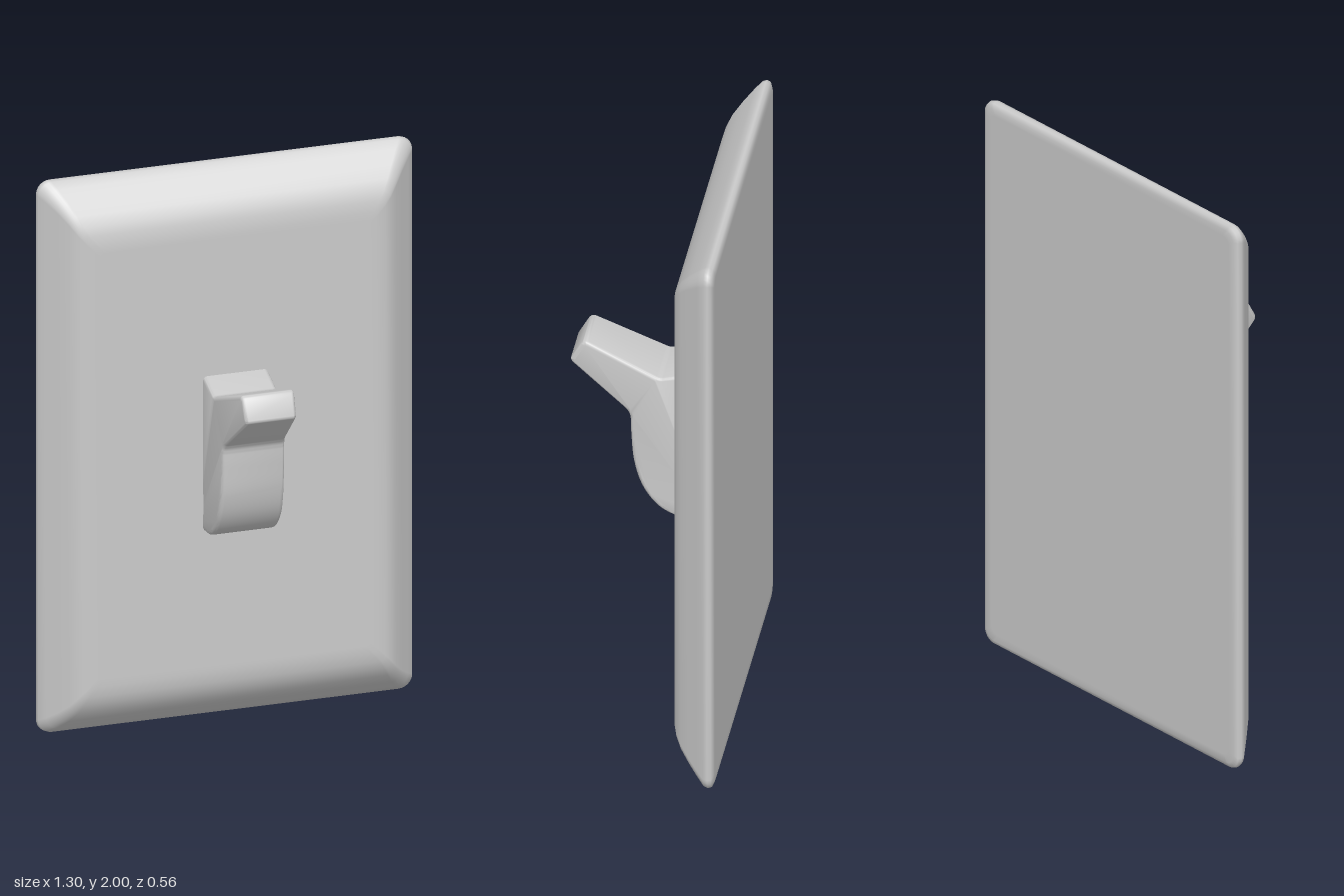
import * as THREE from 'three';
import { toCreasedNormals } from 'three/addons/utils/BufferGeometryUtils.js';

const material = new THREE.MeshStandardMaterial({ color: 0xcccccc });
const CORNER_STEPS = 6;

// Counter-clockwise rounded rectangle in the xy plane
function roundedRect(hw, hh, r) {
  const points = [];
  [[1, 1], [-1, 1], [-1, -1], [1, -1]].forEach(([sx, sy], quarter) => {
    for (let i = 0; i <= CORNER_STEPS; i++) {
      const a = (quarter + i / CORNER_STEPS) * Math.PI / 2;
      points.push([sx * (hw - r) + r * Math.cos(a), sy * (hh - r) + r * Math.sin(a)]);
    }
  });
  return points;
}

// Wall plate: rounded rectangles lofted from back to front, capped at both ends
function plateGeometry() {
  // inset from the side edge, inset from the top and bottom edge, z, corner radius
  const rings = [
    [0.045, 0.045, -0.283, 0.03], [0.02, 0.02, -0.283, 0.04], [0.005, 0.005, -0.276, 0.045],
    [0, 0, -0.264, 0.05], [0.004, 0.004, -0.25, 0.048], [0.025, 0.025, -0.227, 0.043],
    [0.055, 0.06, -0.194, 0.036], [0.085, 0.1, -0.162, 0.03], [0.108, 0.135, -0.144, 0.025],
    [0.13, 0.165, -0.135, 0.02], [0.16, 0.2, -0.13, 0.018], [0.19, 0.23, -0.13, 0.015],
  ];
  const positions = [], index = [];
  for (const [dx, dy, z, r] of rings) {
    for (const [x, y] of roundedRect(0.648 - dx, 1 - dy, r)) positions.push(x, y + 1, z);
  }
  const n = 4 * (CORNER_STEPS + 1);
  const last = (rings.length - 1) * n;
  const back = rings.length * n, front = back + 1;
  positions.push(0, 1, rings[0][2], 0, 1, rings[rings.length - 1][2]);
  for (let i = 0; i < n; i++) {
    const j = (i + 1) % n;
    for (let k = 0; k < last; k += n) {
      index.push(k + i, k + j, k + n + j, k + i, k + n + j, k + n + i);
    }
    index.push(j, i, back, last + i, last + j, front);
  }
  const geometry = new THREE.BufferGeometry();
  geometry.setAttribute('position', new THREE.Float32BufferAttribute(positions, 3));
  geometry.setIndex(index);
  geometry.computeVertexNormals();
  return geometry;
}

// Toggle: side profile (z, y) extruded across x, narrowing towards the lever tip
function toggleGeometry() {
  const shape = new THREE.Shape();
  shape.moveTo(-0.2, 0.72);
  shape.lineTo(-0.13, 0.72);
  shape.splineThru([[-0.07, 0.732], [-0.01, 0.768], [0.04, 0.84], [0.067, 0.93], [0.076, 1.03], [0.078, 1.09]]
    .map(([z, y]) => new THREE.Vector2(z, y)));
  shape.quadraticCurveTo(0.08, 1.11, 0.095, 1.125);
  shape.lineTo(0.273, 1.275);
  shape.quadraticCurveTo(0.284, 1.285, 0.278, 1.297);
  shape.lineTo(0.246, 1.352);
  shape.quadraticCurveTo(0.236, 1.368, 0.22, 1.361);
  shape.lineTo(-0.01, 1.258);
  shape.quadraticCurveTo(-0.022, 1.252, -0.036, 1.256);
  shape.lineTo(-0.13, 1.28);
  shape.lineTo(-0.2, 1.28);
  const bevel = 0.014, halfWidth = 0.112;
  const geometry = new THREE.ExtrudeGeometry(shape, {
    depth: 2 * (halfWidth - bevel), curveSegments: 5,
    bevelThickness: bevel, bevelSize: bevel, bevelOffset: -bevel, bevelSegments: 4,
  });
  geometry.translate(0, 0, bevel - halfWidth).rotateY(-Math.PI / 2);
  const p = geometry.attributes.position;
  for (let i = 0; i < p.count; i++) {
    const t = THREE.MathUtils.clamp((p.getZ(i) - 0.03) / 0.25, 0, 1);
    p.setX(i, p.getX(i) * (1 - 0.22 * t));
  }
  return toCreasedNormals(geometry, 0.7);
}

export function createModel() {
  const model = new THREE.Group();
  model.name = 'lightSwitch';
  for (const [name, geometry] of [['wallPlate', plateGeometry()], ['toggle', toggleGeometry()]]) {
    const mesh = new THREE.Mesh(geometry, material);
    mesh.name = name;
    model.add(mesh);
  }
  return model;
}
